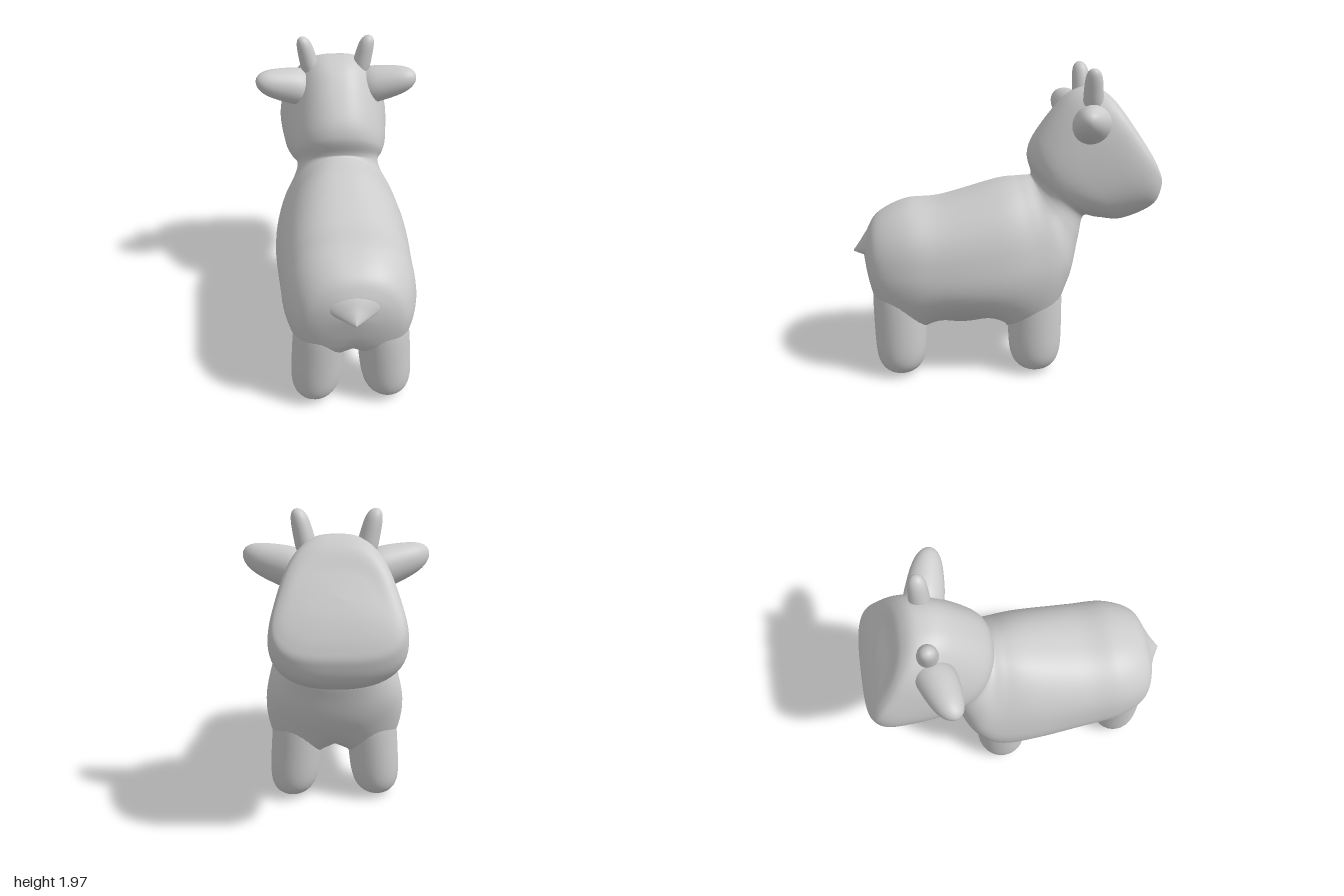
import * as THREE from 'three';

const material = new THREE.MeshStandardMaterial({ color: 0xcccccc });
const { smoothstep } = THREE.MathUtils;

// Leg placement: name, foot x, z, radius along x, radius along z
const LEGS = [['FrontLeg', 0.285, -0.175, 0.172, 0.183], ['BackLeg', 0.238, 0.705, 0.17, 0.175]];

// Closed skin over rings of equal length; faces are turned outward
function skin(rings) {
  const n = rings[0].length, pos = rings.flat(2), index = [];
  for (let i = 0; i < rings.length - 1; i++) {
    for (let j = 0; j < n; j++) {
      const a = i * n + j, b = i * n + (j + 1) % n;
      index.push(a, b, a + n, b, b + n, a + n);
    }
  }
  const p = (i) => new THREE.Vector3().fromArray(pos, i * 3);
  let volume = 0;
  for (let i = 0; i < index.length; i += 3) {
    volume += p(index[i]).dot(p(index[i + 1]).cross(p(index[i + 2])));
  }
  if (volume < 0) index.reverse();
  const g = new THREE.BufferGeometry();
  g.setAttribute('position', new THREE.Float32BufferAttribute(pos, 3));
  g.setIndex(index);
  g.computeVertexNormals();
  return g;
}

// Smooth in-between rows for a short table of cross-sections
function refine(rows, steps) {
  const at = (i) => rows[Math.max(0, Math.min(rows.length - 1, i))];
  const out = [];
  for (let k = 0; k <= (rows.length - 1) * steps; k++) {
    const i = Math.floor(k / steps), t = (k % steps) / steps;
    out.push(at(i).map((p1, c) => {
      const p0 = at(i - 1)[c], p2 = at(i + 1)[c], p3 = at(i + 2)[c];
      return 0.5 * (2 * p1 + (p2 - p0) * t + (2 * p0 - 5 * p1 + 4 * p2 - p3) * t * t
        + (3 * p1 - p0 - 3 * p2 + p3) * t * t * t);
    }));
  }
  return out;
}

const spow = (v, e) => Math.sign(v) * Math.pow(Math.abs(v), e);

// Rows: top z, top y, bottom z, bottom y, half width at top, at bottom, squareness
function spineLoft(rows) {
  const sides = 72;
  return skin(refine(rows, 10).map(([tz, ty, bz, by, wt, wb, n]) =>
    Array.from({ length: sides }, (_, j) => {
      const a = (j / sides) * Math.PI * 2;
      const t = (1 - spow(Math.cos(a), 2 / n)) / 2;
      const w = Math.max(0, wt + (wb - wt) * t);
      return [w * spow(Math.sin(a), 2 / n), ty + (by - ty) * t, tz + (bz - tz) * t];
    })));
}

// Pull the underside down around the legs and into a round belly
function shapeUnderside(g) {
  const p = g.attributes.position;
  for (let i = 0; i < p.count; i++) {
    const x = Math.abs(p.getX(i)), y = p.getY(i), z = p.getZ(i);
    let drop = 0.13 * Math.exp(-((x / 0.22) ** 2) - ((z - 0.29) / 0.28) ** 2);
    for (const [, lx, lz] of LEGS) {
      drop += 0.2 * Math.exp(-((x - lx) ** 2 + (z - lz) ** 2) / 0.036);
    }
    p.setY(i, y - drop * (1 - smoothstep(y, 0.38, 0.72)));
  }
  g.computeVertexNormals();
  return g;
}

// Tapered limb with domed ends; u and v are the radii along two axes
function limb(from, to, u, v, taper, power) {
  const a = new THREE.Vector3(...from), b = new THREE.Vector3(...to);
  const rings = 32, sides = 28;
  return skin(Array.from({ length: rings + 1 }, (_, i) => {
    const s = (1 - Math.cos((i / rings) * Math.PI)) / 2;
    const r = (1 - taper * s) * Math.sqrt((1 - s ** power) * (1 - (1 - s) ** power));
    const c = a.clone().lerp(b, s);
    return Array.from({ length: sides }, (_, j) => {
      const angle = (j / sides) * Math.PI * 2;
      return c.clone()
        .addScaledVector(u, r * Math.cos(angle))
        .addScaledVector(v, r * Math.sin(angle)).toArray();
    });
  }));
}

export function createModel() {
  const model = new THREE.Group();
  const add = (name, geometry) => {
    const mesh = new THREE.Mesh(geometry, material);
    mesh.name = name;
    model.add(mesh);
  };
  const X = (r) => new THREE.Vector3(r, 0, 0);
  const Y = (r) => new THREE.Vector3(0, r, 0);
  const Z = (r) => new THREE.Vector3(0, 0, r);

  // Rump, back, chest, neck and head as one continuous skin
  add('bodyAndHead', shapeUnderside(spineLoft([
    [0.94, 0.80, 0.94, 0.78, 0, 0, 2],
    [0.905, 0.92, 0.89, 0.58, 0.20, 0.26, 2.2],
    [0.83, 1.02, 0.82, 0.48, 0.29, 0.38, 2.4],
    [0.65, 1.10, 0.65, 0.42, 0.35, 0.45, 2.5],
    [0.42, 1.12, 0.42, 0.38, 0.36, 0.48, 2.5],
    [0.05, 1.225, 0.05, 0.37, 0.32, 0.54, 2.5],
    [-0.10, 1.245, -0.25, 0.41, 0.29, 0.54, 2.4],
    [-0.16, 1.25, -0.41, 0.58, 0.27, 0.48, 2.2],
    [-0.18, 1.255, -0.485, 0.83, 0.26, 0.35, 2.1],
    [-0.18, 1.28, -0.525, 0.99, 0.26, 0.30, 2.1],
    [-0.155, 1.40, -0.62, 0.985, 0.28, 0.35, 2.2],
    [-0.21, 1.54, -0.77, 0.98, 0.28, 0.41, 2.4],
    [-0.40, 1.77, -0.95, 1.075, 0.25, 0.46, 2.8],
    [-0.56, 1.83, -1.00, 1.20, 0.24, 0.44, 3],
    [-0.67, 1.785, -0.985, 1.29, 0.22, 0.38, 3],
    [-0.76, 1.66, -0.925, 1.42, 0.16, 0.23, 2.8],
    [-0.85, 1.54, -0.85, 1.54, 0, 0, 2.6],
  ])));

  // Short flattened tail tip flowing out of the rump
  add('tail', spineLoft([
    [0.82, 0.99, 0.82, 0.76, 0.25, 0.25, 2],
    [0.90, 0.92, 0.90, 0.76, 0.15, 0.18, 2],
    [0.95, 0.85, 0.945, 0.762, 0.06, 0.10, 2],
    [1.00, 0.78, 1.00, 0.77, 0, 0, 2],
  ]));

  for (const side of [1, -1]) {
    const label = side > 0 ? 'left' : 'right';

    // Stout legs with round feet, leaning in toward the top
    for (const [name, x, z, rx, rz] of LEGS) {
      add(label + name, limb([side * (x - 0.06), 0.72, z], [side * x, 0, z],
        X(rx), Z(rz), 0.06, 11));
    }

    // Ear, narrowing to a round tip
    add(label + 'Ear', limb([side * 0.14, 1.60, -0.55], [side * 0.54, 1.695, -0.45],
      Y(0.15), Z(0.15), 0.45, 8));

    // Stubby horn leaning outward
    add(label + 'Horn', limb([side * 0.155, 1.68, -0.545], [side * 0.22, 1.97, -0.53],
      X(0.068), Z(0.07), 0.25, 9));
  }
  return model;
}
